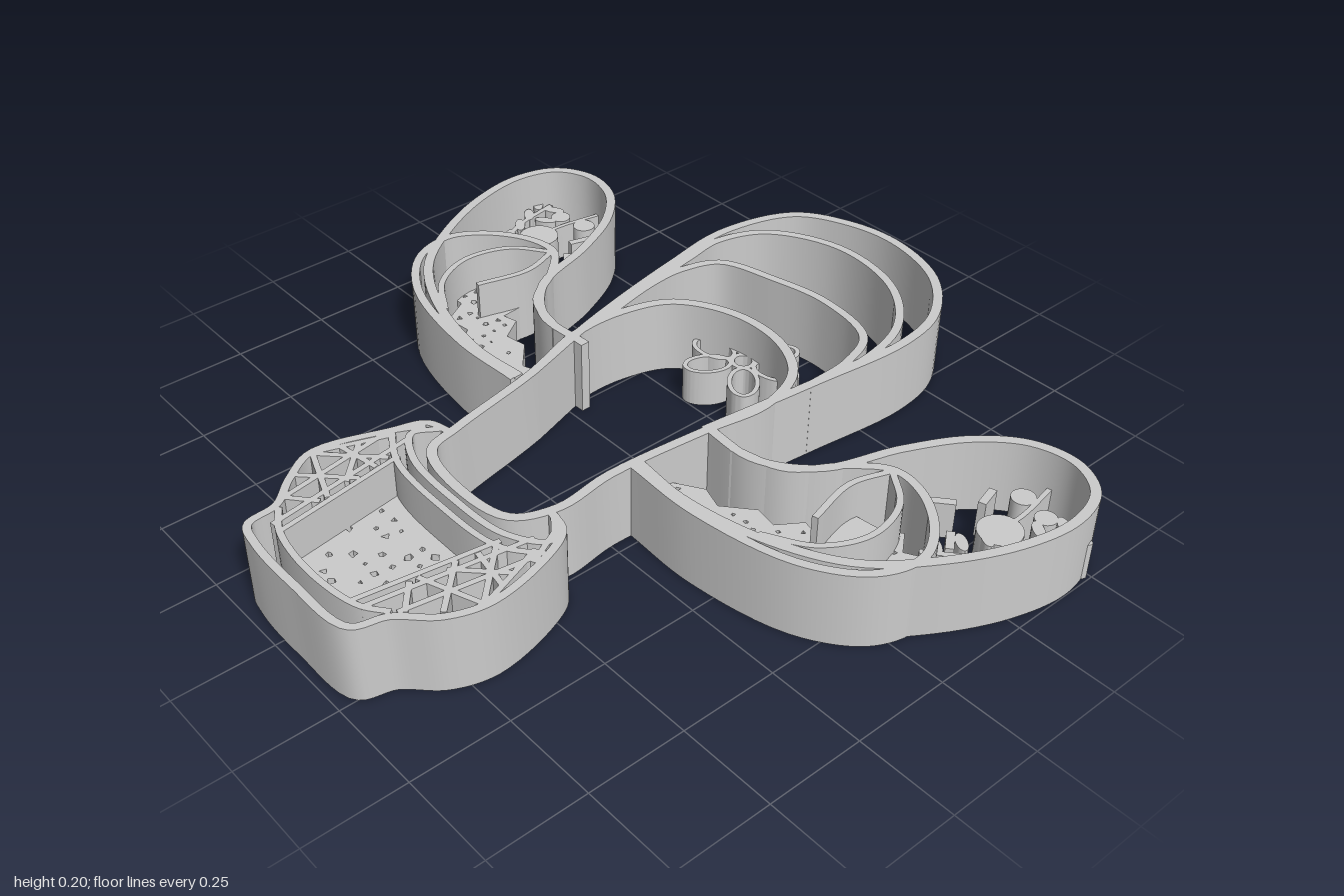
import * as THREE from 'three';
import { toCreasedNormals } from 'three/addons/utils/BufferGeometryUtils.js';

const WALL = 0.2, INNER = 0.1;
const material = new THREE.MeshStandardMaterial({ color: 0xcccccc });
const vecs = (pts) => pts.map(([x, z]) => new THREE.Vector2(x, z));
const mirror = (pts, s) => pts.map(([x, z]) => [x * s, z]);

let seed = 7;
const rand = () => (seed = (seed * 16807) % 2147483647) / 2147483647;

// Plan shape (x, z) raised to the given height above y = 0
function raise(group, name, shape, height) {
  const flat = new THREE.ExtrudeGeometry(shape, { depth: height, bevelEnabled: false, curveSegments: 12 });
  flat.rotateX(Math.PI / 2).translate(0, height, 0);
  const mesh = new THREE.Mesh(toCreasedNormals(flat, 0.5), material);
  mesh.name = name;
  group.add(mesh);
}

// Constant-width wall following a plan curve
function ribbon(group, name, pts, { width = 0.025, height = WALL, closed = false, straight = false } = {}) {
  let line = vecs(pts);
  if (!straight) {
    const curve = new THREE.CatmullRomCurve3(line.map((p) => new THREE.Vector3(p.x, p.y, 0)), closed, 'centripetal');
    line = curve.getPoints(pts.length * 6).map((p) => new THREE.Vector2(p.x, p.y));
    if (closed) line.pop();
  }
  const n = line.length, sides = [[], []];
  line.forEach((p, i) => {
    const a = closed ? line[(i + n - 1) % n] : line[Math.max(i - 1, 0)];
    const b = closed ? line[(i + 1) % n] : line[Math.min(i + 1, n - 1)];
    const d = b.clone().sub(a).normalize().multiplyScalar(width / 2);
    sides[0].push(new THREE.Vector2(p.x - d.y, p.y + d.x));
    sides[1].push(new THREE.Vector2(p.x + d.y, p.y - d.x));
  });
  let shape;
  if (closed) {
    sides.sort((a, b) => Math.abs(THREE.ShapeUtils.area(b)) - Math.abs(THREE.ShapeUtils.area(a)));
    shape = new THREE.Shape(sides[0]);
    shape.holes.push(new THREE.Path(sides[1]));
  } else shape = new THREE.Shape([...sides[0], ...sides[1].reverse()]);
  raise(group, name, shape, height);
}

function inside(poly, x, z) {
  let hit = false;
  poly.forEach(([ax, az], i) => {
    const [bx, bz] = poly[(i + 1) % poly.length];
    if ((az > z) !== (bz > z) && x < ((bx - ax) * (z - az)) / (bz - az) + ax) hit = !hit;
  });
  return hit;
}

// Textured plate: a polygon pierced by small irregular holes
function speckled(group, name, poly, step) {
  const shape = new THREE.Shape(vecs(poly));
  for (let x = -1; x < 1; x += step) for (let z = -1; z < 1; z += step) {
    const r = step * (0.14 + 0.22 * rand()), turn = rand() * 6.28;
    const cx = x + (rand() - 0.5) * step * 0.25, cz = z + (rand() - 0.5) * step * 0.25;
    const clear = [0, 1, 2, 3, 4, 5, 6, 7].every((k) =>
      inside(poly, cx + Math.cos(k * 0.785) * step * 0.5, cz + Math.sin(k * 0.785) * step * 0.5));
    if (!clear || rand() < 0.25) continue;
    const corners = 3 + Math.floor(rand() * 3), hole = [];
    for (let k = 0; k < corners; k++) {
      const a = turn + (k / corners) * Math.PI * 2, q = r * (0.6 + 0.4 * rand());
      hole.push(new THREE.Vector2(cx + Math.cos(a) * q, cz + Math.sin(a) * q));
    }
    shape.holes.push(new THREE.Path(hole));
  }
  raise(group, name, shape, INNER);
}

function ellipse(group, name, x, z, rx, rz, turn = 0) {
  const shape = new THREE.Shape();
  shape.absellipse(x, z, rx, rz, 0, Math.PI * 2, false, turn);
  raise(group, name, shape, INNER);
}

function part(parent, name) {
  const g = new THREE.Group();
  g.name = name;
  parent.add(g);
  return g;
}

export function createModel() {
  const model = new THREE.Group();
  model.name = 'cactusCutter';

  // Trunk wall and the three nested arches over it
  const trunk = part(model, 'trunk');
  ribbon(trunk, 'trunkWall', [[-0.27, -0.05], [-0.27, -0.2], [-0.22, -0.33], [-0.08, -0.41], [0.08, -0.41],
    [0.2, -0.34], [0.25, -0.2], [0.23, -0.03], [0.21, 0.24], [0.225, 0.4], [0.18, 0.5], [0.03, 0.525],
    [-0.12, 0.49], [-0.15, 0.4], [-0.21, 0.13]], { closed: true });
  ribbon(trunk, 'outerArch', [[-0.21, 0.13], [-0.29, -0.13], [-0.36, -0.45], [-0.39, -0.67], [-0.33, -0.87], [-0.2, -0.95],
    [-0.05, -0.973], [0.13, -0.92], [0.25, -0.79], [0.285, -0.64], [0.26, -0.35], [0.225, -0.03]]);
  ribbon(trunk, 'middleArch', [[-0.28, -0.13], [-0.35, -0.5], [-0.365, -0.62], [-0.31, -0.75], [-0.13, -0.84],
    [0.08, -0.81], [0.22, -0.69], [0.27, -0.53], [0.255, -0.3]], { width: 0.022 });
  ribbon(trunk, 'innerArch', [[-0.28, -0.15], [-0.32, -0.35], [-0.32, -0.45], [-0.28, -0.55], [-0.13, -0.6],
    [0.03, -0.625], [0.2, -0.585], [0.25, -0.48], [0.26, -0.33]], { width: 0.022 });

  // Flower: six petal outlines around a ring
  const flower = part(model, 'flower');
  const loop = (cx, cz, rx, rz, turn) => Array.from({ length: 10 }, (_, i) => {
    const a = (i / 10) * Math.PI * 2, u = Math.cos(a) * rx, v = Math.sin(a) * rz;
    return [cx + u * Math.cos(turn) - v * Math.sin(turn), cz + u * Math.sin(turn) + v * Math.cos(turn)];
  });
  ribbon(flower, 'flowerCentre', loop(-0.015, -0.385, 0.028, 0.028, 0), { width: 0.012, height: INNER, closed: true });
  [-1.2, -0.35, 0.75, 2.15, 2.95, 4.05].forEach((a) => {
    const cx = -0.015 + Math.cos(a) * 0.09, cz = -0.385 + Math.sin(a) * 0.09;
    ribbon(flower, 'petal', loop(cx, cz, 0.058, 0.035, a), { width: 0.012, height: INNER, closed: true });
  });

  // Mirrored arms
  for (const s of [1, -1]) {
    const arm = part(model, s > 0 ? 'leftArm' : 'rightArm');
    const wall = (name, pts, opt) => ribbon(arm, name, mirror(pts, s), opt);
    wall('armWall', [[0.22, -0.04], [0.38, -0.04], [0.5, -0.13], [0.57, -0.32], [0.65, -0.47], [0.75, -0.56],
      [0.86, -0.58], [0.95, -0.53], [0.985, -0.42], [0.96, -0.27], [0.88, -0.1], [0.77, 0.04], [0.6, 0.13],
      [0.38, 0.175], [0.22, 0.165]]);
    wall('elbowWall', [[0.22, 0.18], [0.43, 0.185], [0.69, 0.13], [0.82, 0.03], [0.85, -0.08], [0.8, -0.17],
      [0.7, -0.24], [0.61, -0.25], [0.53, -0.18], [0.45, -0.07], [0.32, -0.03]], { width: 0.022 });
    wall('elbowArc', [[0.61, -0.245], [0.7, -0.17], [0.73, -0.05], [0.68, 0.06], [0.57, 0.13]], { width: 0.016 });
    wall('elbowFold', [[0.61, -0.245], [0.58, -0.14], [0.61, 0]], { width: 0.016 });

    // Textured fill along the bend
    speckled(arm, 'armTexture', mirror([[0.22, 0.08], [0.3, 0.03], [0.36, 0.05], [0.43, -0.01], [0.49, 0], [0.53, -0.06],
      [0.57, -0.05], [0.58, -0.16], [0.66, -0.17], [0.7, -0.2], [0.74, -0.15], [0.83, -0.2], [0.83, -0.12], [0.78, -0.09],
      [0.75, 0], [0.69, 0], [0.65, 0.07], [0.58, 0.06], [0.53, 0.12], [0.46, 0.09], [0.38, 0.14], [0.31, 0.11],
      [0.22, 0.14]], s), 0.036);

    // Dots, dashes and a leafy sprig in the tip
    [[0.83, -0.37, 0.054], [0.79, -0.5, 0.03], [0.87, -0.48, 0.027]].forEach(([x, z, r]) =>
      ellipse(arm, 'dot', x * s, z, r, r));
    [[0.69, -0.36, 1.3], [0.735, -0.44, 1.3], [0.68, -0.35, -0.7], [0.78, -0.26, 0.9]].slice(1).forEach(([x, z, a]) => {
      const u = Math.cos(a) * 0.03, v = Math.sin(a) * 0.03;
      wall('dash', [[x - u, z - v], [x + u, z + v]], { width: 0.02, height: INNER, straight: true });
    });
    wall('dotStem', [[0.81, -0.57], [0.83, -0.45], [0.83, -0.37]], { width: 0.012, height: INNER });
    wall('sprigStem', [[0.76, -0.18], [0.85, -0.26], [0.91, -0.36], [0.94, -0.5]], { width: 0.014, height: INNER });
    for (let i = 0; i < 6; i++) {
      const t = i / 5, x = 0.8 + 0.14 * t, z = -0.2 - 0.27 * t;
      for (const side of [-1, 1])
        ellipse(arm, 'leaf', (x + side * 0.027) * s, z - 0.012 + side * 0.008, 0.03, 0.014, s * side * -0.6);
    }
  }

  // Pot: outer wall, faceted inner walls and rim bands
  const pot = part(model, 'pot');
  ribbon(pot, 'potWall', [[-0.15, 0.42], [-0.21, 0.44], [-0.24, 0.52], [-0.29, 0.7], [-0.24, 0.79], [-0.18, 0.86],
    [-0.165, 0.94], [-0.1, 0.96], [0.06, 0.966], [0.24, 0.95], [0.27, 0.87], [0.34, 0.79], [0.37, 0.69], [0.335, 0.52],
    [0.29, 0.44], [0.225, 0.42]], { width: 0.02 });
  ribbon(pot, 'rimBand', [[-0.17, 0.43], [-0.2, 0.49], [-0.12, 0.54], [0.05, 0.555], [0.22, 0.54], [0.3, 0.48], [0.24, 0.42]],
    { width: 0.018 });
  ribbon(pot, 'lowerBand', [[-0.24, 0.52], [-0.13, 0.575], [0.05, 0.59], [0.24, 0.575], [0.33, 0.51]], { width: 0.016 });
  ribbon(pot, 'baseBand', [[-0.17, 0.86], [-0.1, 0.9], [0.05, 0.92], [0.2, 0.9], [0.26, 0.86]], { width: 0.016 });
  speckled(pot, 'potTexture', [[-0.17, 0.56], [-0.05, 0.585], [0.14, 0.585], [0.27, 0.56], [0.25, 0.72], [0.21, 0.905],
    [0.05, 0.92], [-0.11, 0.905], [-0.14, 0.72]], 0.042);

  // Crossed struts on both flanks of the pot
  const struts = [[[-0.19, 0.5], [-0.13, 0.9]], [[-0.15, 0.56], [-0.1, 0.9]], [[-0.24, 0.53], [-0.19, 0.85]],
    [[-0.28, 0.7], [-0.16, 0.58]], [[-0.29, 0.7], [-0.13, 0.76]], [[-0.25, 0.6], [-0.15, 0.7]],
    [[-0.25, 0.78], [-0.14, 0.67]], [[-0.2, 0.84], [-0.13, 0.78]], [[-0.22, 0.52], [-0.29, 0.71]],
    [[-0.2, 0.45], [-0.25, 0.55]], [[-0.26, 0.64], [-0.15, 0.62]]];
  for (const s of [1, -1]) {
    for (const ends of struts)
      ribbon(pot, 'strut', ends.map(([x, z]) => [0.04 + (x - 0.04) * s, z]), { width: 0.014, straight: true });
  }
  return model;
}
